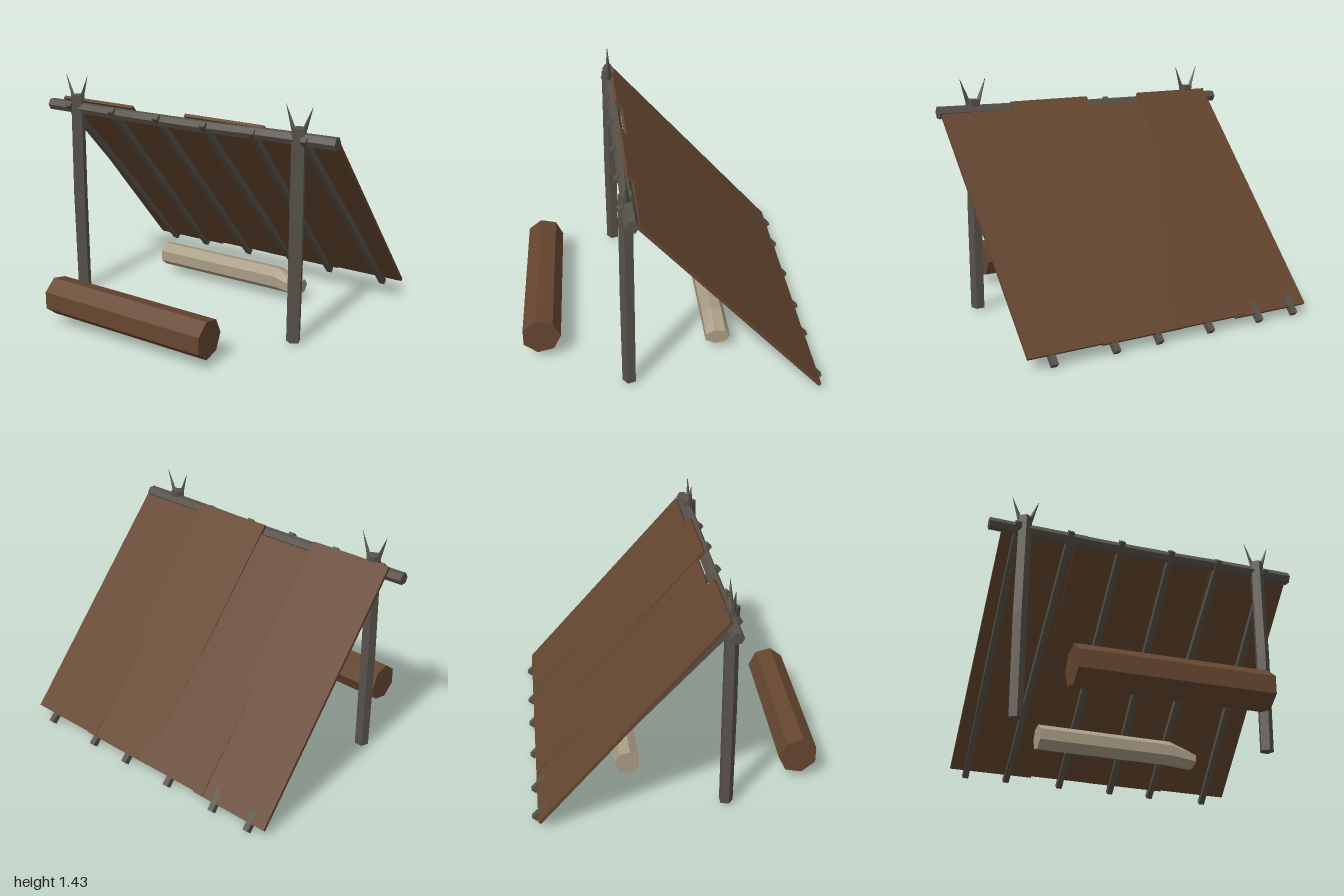
import * as THREE from 'three';

const paint = (name, color) => {
  const m = new THREE.MeshStandardMaterial({ color, flatShading: true });
  m.name = name;
  return m;
};

// Faceted pole lofted through rings [x, y, z, radius, vertical squash], along 'x' or 'y'
function pole(rings, sides, axis) {
  const pts = rings.map(([x, y, z, r, squash = 1]) =>
    Array.from({ length: sides }, (_, j) => {
      const a = (j / sides) * Math.PI * 2;
      const u = Math.cos(a) * r, v = Math.sin(a) * r * squash;
      return axis === 'x' ? [x, y + v, z - u] : [x + v, y, z + u];
    }));
  const out = [];
  const tri = (...c) => c.forEach((p) => out.push(...p));
  const last = rings.length - 1;
  for (let j = 0; j < sides; j++) {
    const k = (j + 1) % sides;
    for (let i = 0; i < last; i++) {
      tri(pts[i][j], pts[i][k], pts[i + 1][k]);
      tri(pts[i][j], pts[i + 1][k], pts[i + 1][j]);
    }
    tri(rings[0].slice(0, 3), pts[0][k], pts[0][j]);
    tri(rings[last].slice(0, 3), pts[last][j], pts[last][k]);
  }
  const g = new THREE.BufferGeometry();
  g.setAttribute('position', new THREE.Float32BufferAttribute(out, 3));
  g.computeVertexNormals();
  return g;
}

export function createModel() {
  const model = new THREE.Group();
  model.name = 'leanToShelter';
  const greyWood = paint('greyWood', 0x57524a);
  const brownWood = paint('brownWood', 0x654630);
  const paleWood = paint('paleWood', 0xa89c84);

  const add = (name, geometry, material) => {
    const mesh = new THREE.Mesh(geometry, material);
    mesh.name = name;
    model.add(mesh);
    return mesh;
  };

  // Rectangular board running from a to b
  const board = (name, a, b, width, thickness, material) => {
    const from = new THREE.Vector3(...a), to = new THREE.Vector3(...b);
    const mesh = add(name, new THREE.BoxGeometry(width, thickness, from.distanceTo(to)), material);
    mesh.position.copy(from).add(to).multiplyScalar(0.5);
    mesh.lookAt(to);
  };

  // Upright posts, each with a forked pair of spikes on top
  [[-0.785, -0.005], [0.77, 0.004]].forEach(([x, bend]) => {
    add('post', pole([
      [x, 0.02, 0.255, 0.043],
      [x + bend, 0.65, 0.257, 0.045],
      [x, 1.31, 0.257, 0.043],
    ], 5, 'y'), greyWood);
    [-1, 1].forEach((s) => add('spike', pole([
      [x + s * 0.02, 1.26, 0.257, 0.02],
      [x + s * 0.083, 1.435, 0.257, 0.001],
    ], 4, 'y'), greyWood));
  });

  // Slightly crooked ridge beam
  add('ridgeBeam', pole([
    [-1, 1.228, 0.25, 0.037],
    [-0.35, 1.225, 0.248, 0.037],
    [0.1, 1.228, 0.246, 0.037],
    [0.55, 1.24, 0.246, 0.038],
    [1, 1.245, 0.243, 0.04],
  ], 6, 'x'), greyWood);

  // Sloping rafters: top x, bottom x
  [[-0.83, -0.805], [-0.5, -0.54], [-0.17, -0.18], [0.16, 0.175], [0.485, 0.46], [0.815, 0.85]]
    .forEach(([top, bottom]) =>
      board('rafter', [bottom, 0.018, -0.872], [top, 1.255, 0.292], 0.036, 0.036, greyWood));

  // Overlapping roof panels: x range, bottom y, top y, top z
  [
    [-0.91, -0.38, 0.057, 1.278, 0.235],
    [-0.45, 0.08, 0.067, 1.225, 0.2],
    [0, 0.535, 0.065, 1.278, 0.235],
    [0.46, 0.995, 0.072, 1.235, 0.205],
  ].forEach(([x0, x1, y0, y1, z1]) => {
    const x = (x0 + x1) / 2;
    board('roofPanel', [x, y0, -0.843], [x, y1, z1], x1 - x0, 0.02, brownWood);
  });

  // Seat log in front
  add('frontLog', pole([
    [-0.613, 0.172, 0.73, 0.12],
    [0.51, 0.172, 0.77, 0.12],
  ], 7, 'x'), brownWood);

  // Pale log under the roof, dipping and flattened at one end
  add('paleLog', pole([
    [-0.5, 0.135, -0.3, 0.078],
    [0.37, 0.135, -0.3, 0.078],
    [0.53, 0.103, -0.305, 0.08, 0.62],
  ], 7, 'x'), paleWood);

  return model;
}
